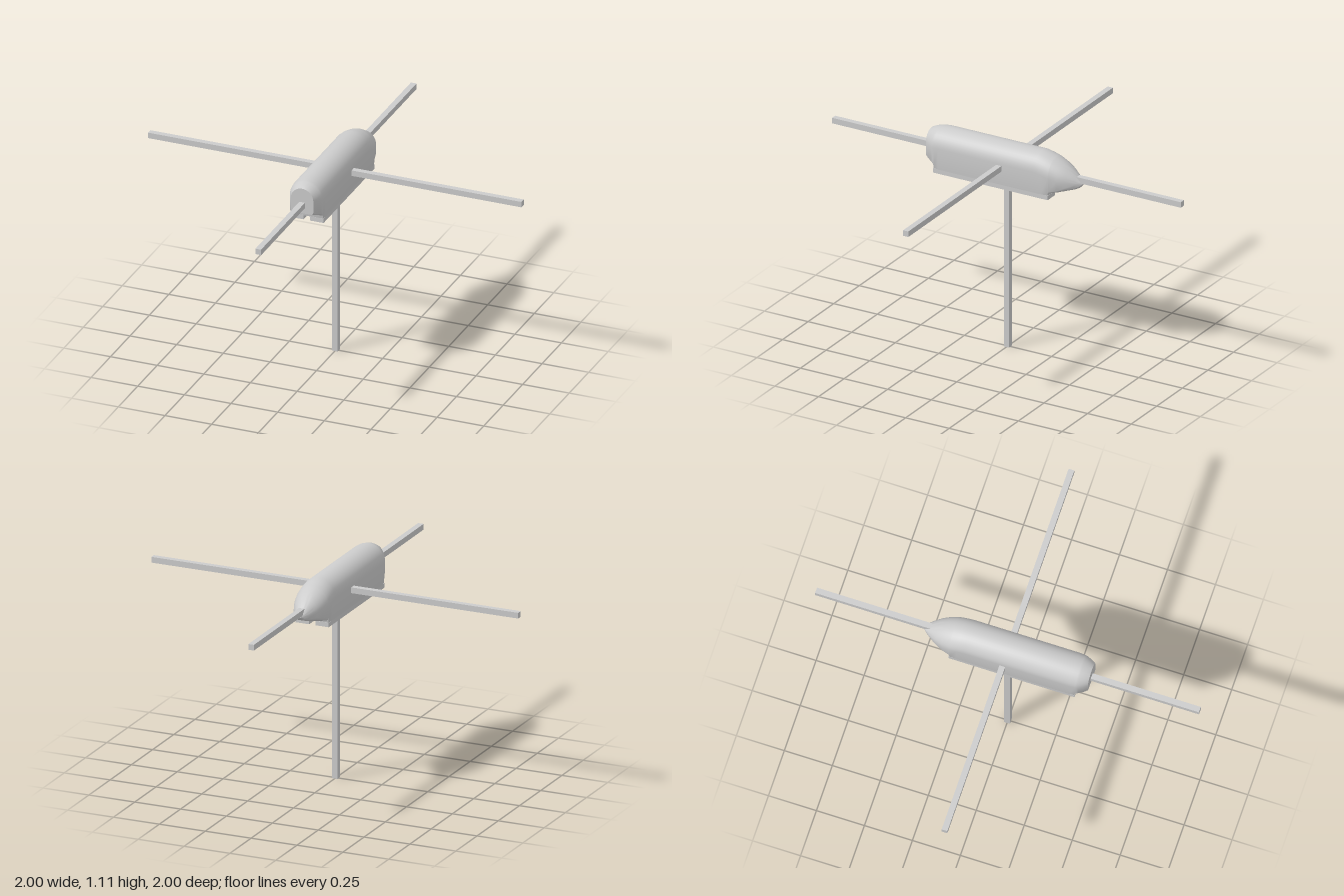
import * as THREE from 'three';
import { toCreasedNormals } from 'three/addons/utils/BufferGeometryUtils.js';

const material = new THREE.MeshStandardMaterial({ color: 0xcccccc });

// Arched cross-section, counterclockwise from +z: rounded bottom corners, round top
function section([z, w, bottom, top, r]) {
  const pts = [];
  const arc = (cx, cy, radius, from, to, n) => {
    for (let i = 0; i <= n; i++) {
      const a = from + ((to - from) * i) / n;
      pts.push([cx + radius * Math.cos(a), cy + radius * Math.sin(a), z]);
    }
  };
  const P = Math.PI;
  arc(w - r, bottom + r, r, -P / 2, 0, 4);
  arc(0, top - w, w, 0, P, 20);
  arc(r - w, bottom + r, r, P, 1.5 * P, 4);
  return pts;
}

// Closed skin through a list of sections running from front to back
function loft(stations) {
  const rings = stations.map(section);
  const n = rings[0].length;
  const pos = rings.flat(2);
  const index = [];
  for (let i = 0; i < rings.length - 1; i++) {
    for (let j = 0; j < n; j++) {
      const k = (j + 1) % n;
      const a = i * n + j, b = i * n + k, c = b + n, d = a + n;
      index.push(a, d, c, a, c, b);
    }
  }
  const last = (rings.length - 1) * n;
  for (let j = 1; j < n - 1; j++) {
    index.push(0, j, j + 1, last, last + j + 1, last + j);
  }
  const geo = new THREE.BufferGeometry();
  geo.setAttribute('position', new THREE.Float32BufferAttribute(pos, 3));
  geo.setIndex(index);
  return toCreasedNormals(geo, 0.6);
}

export function createModel() {
  const group = new THREE.Group();
  const add = (name, geo, x = 0, y = 0, z = 0) => {
    const mesh = new THREE.Mesh(geo, material);
    mesh.name = name;
    mesh.position.set(x, y, z);
    group.add(mesh);
  };

  // Body: z, half width, bottom, top, bottom corner radius
  add('body', loft([
    [0.436, 0.06, 0.955, 1.09, 0.012],
    [0.415, 0.074, 0.947, 1.1, 0.012],
    [0.39, 0.085, 0.94, 1.107, 0.01],
    [0.378, 0.088, 0.93, 1.11, 0.006],
    [0.375, 0.088, 0.912, 1.11, 0.0005],
    [0.35, 0.09, 0.912, 1.113, 0.0005],
    [-0.2, 0.09, 0.912, 1.113, 0.0005],
    [-0.24, 0.09, 0.912, 1.105, 0.0005],
    [-0.278, 0.089, 0.912, 1.093, 0.0005],
    [-0.281, 0.088, 0.924, 1.092, 0.012],
    [-0.32, 0.08, 0.932, 1.074, 0.018],
    [-0.36, 0.064, 0.942, 1.05, 0.02],
    [-0.4, 0.039, 0.951, 1.018, 0.018],
    [-0.42, 0.024, 0.96, 1.0, 0.012],
    [-0.434, 0.01, 0.975, 0.99, 0.004],
  ]));

  // Two rails under the body with a slot between them
  for (const [side, s] of [['left', 1], ['right', -1]]) {
    add(side + 'Rail', new THREE.BoxGeometry(0.073, 0.024, 0.656), s * 0.0535, 0.902, 0.048);
  }

  // Square rods
  const t = 0.03;
  add('crossRod', new THREE.BoxGeometry(2, t, t), 0, 1, 0);
  add('lengthRod', new THREE.BoxGeometry(t, t, 2), 0, 1, 0);
  add('standRod', new THREE.BoxGeometry(t, 1, t), 0, 0.5, 0);
  return group;
}
